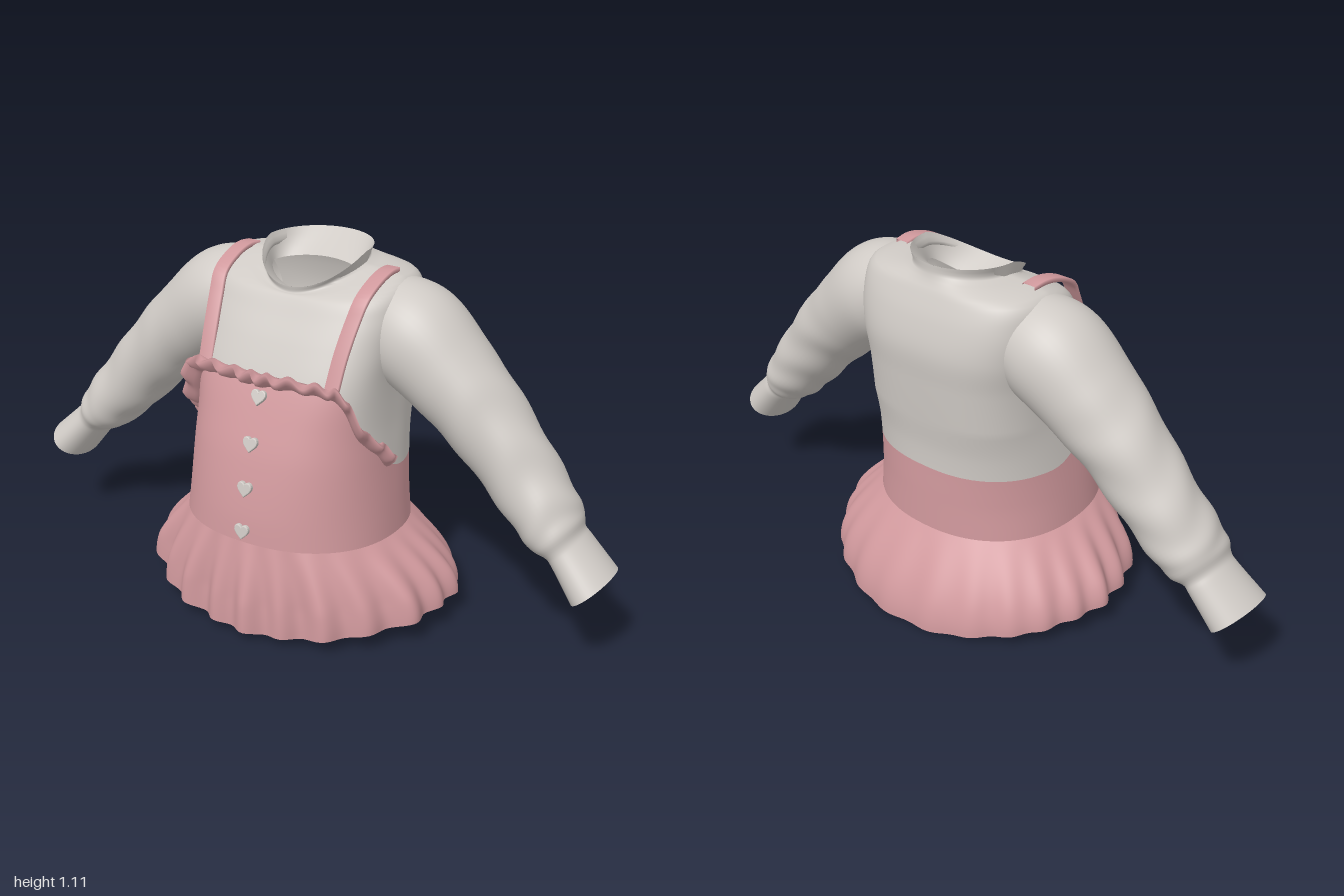
import * as THREE from 'three';

const material = (name, color) => {
  const m = new THREE.MeshStandardMaterial({ color, side: THREE.DoubleSide });
  m.name = name;
  return m;
};
const lerp = THREE.MathUtils.lerp;
const TAU = Math.PI * 2;

// Surface through rows x cols points; each row closes into a ring.
function loft(rows, cols, point) {
  const pos = [], idx = [];
  for (let i = 0; i < rows; i++) for (let j = 0; j < cols; j++) pos.push(...point(i / (rows - 1), j / cols));
  for (let i = 0; i < rows - 1; i++) {
    for (let j = 0; j < cols; j++) {
      const a = i * cols + j, b = i * cols + (j + 1) % cols;
      idx.push(a, b, a + cols, b, b + cols, a + cols);
    }
  }
  const g = new THREE.BufferGeometry();
  g.setAttribute('position', new THREE.Float32BufferAttribute(pos, 3));
  g.setIndex(idx);
  g.computeVertexNormals();
  return g;
}

// Smooth interpolation of table rows keyed by their first column.
function sample(table, t) {
  let i = 0;
  while (i < table.length - 2 && t > table[i + 1][0]) i++;
  const a = table[i], b = table[i + 1];
  const p = table[Math.max(i - 1, 0)], n = table[Math.min(i + 2, table.length - 1)];
  const h = b[0] - a[0], u = THREE.MathUtils.clamp((t - a[0]) / h, 0, 1);
  return a.map((v, k) => {
    const m0 = (b[k] - p[k]) / (b[0] - p[0]) * h, m1 = (n[k] - v) / (n[0] - a[0]) * h;
    const u2 = u * u, u3 = u2 * u;
    return (2 * u3 - 3 * u2 + 1) * v + (u3 - 2 * u2 + u) * m0 + (3 * u2 - 2 * u3) * b[k] + (u3 - u2) * m1;
  });
}

// Torso rings: key, half width, front z, back z, squareness, y at side, front, back
const TORSO = [
  [0.27, 0.342, 0.36, -0.275, 2.25, 0.27, 0.27, 0.27],
  [0.40, 0.328, 0.348, -0.275, 2.25, 0.40, 0.40, 0.40],
  [0.55, 0.311, 0.318, -0.275, 2.5, 0.55, 0.55, 0.55],
  [0.65, 0.302, 0.287, -0.285, 2.8, 0.65, 0.65, 0.65],
  [0.78, 0.30, 0.238, -0.295, 3.4, 0.78, 0.78, 0.78],
  [0.88, 0.31, 0.188, -0.30, 3.4, 0.88, 0.88, 0.88],
  [0.97, 0.315, 0.145, -0.28, 3.2, 0.98, 0.95, 0.97],
  [1.04, 0.295, 0.12, -0.25, 2.8, 1.052, 0.99, 1.04],
  [1.08, 0.21, 0.108, -0.235, 2.3, 1.072, 1.004, 1.065],
  [1.10, 0.155, 0.098, -0.226, 2, 1.075, 1.006, 1.085],
  [1.14, 0.165, 0.10, -0.225, 2, 1.114, 1.024, 1.115],
];
const COLLAR_LINING = [
  TORSO[10],
  [1.18, 0.15, 0.012, -0.125, 2, 1.035, 0.98, 1.05],
];
// Point on a ring; angle 0 faces front, positive towards +x; the back is a little rounder
function ringPoint(row, a) {
  const [, w, zf, zb, qFront, yS, yF, yB] = row;
  const s = Math.sin(a), c = Math.cos(a);
  const q = c > 0 ? qFront : lerp(qFront, Math.min(qFront, 2.8), Math.min(1, -c * 2));
  const r = (Math.abs(s) ** q + Math.abs(c) ** q) ** (-1 / q);
  const y = c > 0 ? lerp(yS, yF, c ** 1.35) : lerp(yS, yB, c * c);
  return [w * r * s, y, (zf + zb) / 2 + (zf - zb) / 2 * r * c];
}
const torsoPoint = (t, a) => ringPoint(sample(TORSO, t), a);

// Height of the pinafore's upper edge around the body, and of its waist seam
const EDGE = [[0, 0.785], [0.5, 0.785], [0.75, 0.76], [1.0, 0.65], [1.3, 0.575], [1.44, 0.53], [1.7, 0.495], [2, 0.49], [3.15, 0.49]];
const edge = a => sample(EDGE, Math.abs(a > Math.PI ? TAU - a : a))[1];
const waist = a => 0.295 + 0.015 * Math.cos(a);

// Flared skirt with irregular pleats deepening towards the hem
function skirtPoint(s, a) {
  const top = torsoPoint(waist(a), a);
  const sn = Math.sin(a), cs = Math.cos(a), f = Math.sin(s * Math.PI / 2);
  const front = THREE.MathUtils.smoothstep(cs, -0.7, 0.3);
  const pleat = 0.75 * Math.sin(23 * a + 1.3 * Math.sin(3 * a)) + 0.35 * Math.sin(11 * a + 1);
  const amp = lerp(0.006, 0.018, front) * Math.min(1, s * 1.5);
  const hem = 0.016 + 0.062 * sn * sn + 0.013 * cs + 0.005 * pleat * front;
  return [
    lerp(top[0], 0.495 * sn, f) + pleat * amp * sn,
    lerp(top[1], hem, s),
    lerp(top[2], cs > 0 ? 0.395 * cs : 0.405 * cs, f) + pleat * amp * cs,
  ];
}

// Sleeve rings: key, centre x y z, radius in the arm's plane, radius along z
const SLEEVE = [
  [0, 0.23, 0.925, -0.075, 0.138, 0.14],
  [1, 0.33, 0.885, -0.07, 0.157, 0.16],
  [2, 0.44, 0.80, -0.065, 0.14, 0.15],
  [3, 0.56, 0.69, -0.06, 0.124, 0.132],
  [4, 0.67, 0.57, -0.055, 0.112, 0.118],
  [5, 0.76, 0.47, -0.045, 0.10, 0.118],
  [6, 0.82, 0.405, -0.035, 0.084, 0.112],
  [6.5, 0.845, 0.38, -0.03, 0.064, 0.095],
  [7, 0.865, 0.36, -0.03, 0.062, 0.096],
  [8, 0.948, 0.271, -0.017, 0.071, 0.11],
];
function sleevePoint(t, a, scale = 1) {
  const [, x, y, z, rn, rz] = sample(SLEEVE, t);
  const p = sample(SLEEVE, Math.max(t - 0.3, 0)), n = sample(SLEEVE, Math.min(t + 0.3, 8));
  const dx = n[1] - p[1], dy = n[2] - p[2], len = Math.hypot(dx, dy);
  const fold = 0.003 * THREE.MathUtils.smoothstep(t, 2, 3) * (1 - THREE.MathUtils.smoothstep(t, 5.5, 6.3)) * Math.sin(t * 5 + 2 * Math.sin(a * 2));
  const u = (rn + fold) * Math.cos(a) * scale, v = (rz + fold) * Math.sin(a) * scale;
  return [x - dy / len * u, y + dx / len * u, z + v];
}

function heartGeometry(w) {
  const s = new THREE.Shape();
  s.moveTo(0, -w);
  s.bezierCurveTo(-w * 0.5, -w * 0.5, -w * 1.1, -w * 0.1, -w, w * 0.45);
  s.bezierCurveTo(-w * 0.9, w * 1.05, -w * 0.2, w * 1.0, 0, w * 0.45);
  s.bezierCurveTo(w * 0.2, w * 1.0, w * 0.9, w * 1.05, w, w * 0.45);
  s.bezierCurveTo(w * 1.1, -w * 0.1, w * 0.5, -w * 0.5, 0, -w);
  return new THREE.ExtrudeGeometry(s, { depth: 0.009, bevelEnabled: true, bevelSize: 0.003, bevelThickness: 0.003, bevelSegments: 2, curveSegments: 8 });
}

export function createModel() {
  const model = new THREE.Group();
  model.name = 'pinaforeOutfit';
  const grey = material('warmGrey', 0xcfcac5);
  const pink = material('dustyPink', 0xd29a9e);
  const add = (name, geometry, mat) => {
    const mesh = new THREE.Mesh(geometry, mat);
    mesh.name = name;
    model.add(mesh);
    return mesh;
  };

  // Shirt body above the pinafore, with collar
  add('shirtBody', loft(50, 128, (u, v) => torsoPoint(lerp(edge(v * TAU), 1.14, u), v * TAU)), grey);
  add('collarLining', loft(5, 64, (u, v) => ringPoint(sample(COLLAR_LINING, 1.14 + 0.04 * u), v * TAU)), grey);

  // Pinafore body, skirt and closed underside
  add('pinaforeBody', loft(30, 128, (u, v) => torsoPoint(lerp(waist(v * TAU), edge(v * TAU), u), v * TAU)), pink);
  add('skirt', loft(18, 300, (u, v) => skirtPoint(u, v * TAU)), pink);
  add('skirtUnderside', loft(4, 300, (u, v) => {
    const p = skirtPoint(1, v * TAU), k = 1 - u;
    return [p[0] * k, lerp(0.055, p[1], k), p[2] * k];
  }), pink);

  // Wavy ruffle along the bib edge: cross-section as outward and upward offsets
  const section = [[-0.004, -0.022], [0.024, -0.012], [0.05, 0.006], [0.064, 0.03], [0.045, 0.036], [0.012, 0.018], [-0.006, 0.01]];
  add('bibRuffle', loft(320, section.length, (u, v) => {
    const a = lerp(-1.44, 1.44, u), side = Math.min(1, Math.abs(a) / 1.1);
    const [out, up] = section[Math.round(v * section.length)];
    const base = torsoPoint(edge(a), a);
    const wave = Math.sin(a * 34 + 0.9 * Math.sin(a * 9)) * Math.max(out, 0) / 0.06;
    const o = out * lerp(1, 0.75, side) + wave * 0.007;
    return [base[0] + o * Math.sin(a), base[1] + up * lerp(1, 0.8, side) - wave * 0.008, base[2] + o * Math.cos(a)];
  }), pink);

  // Heart buttons down the front
  const heart = heartGeometry(0.021);
  [0.735, 0.605, 0.475, 0.345].forEach((y, i) => {
    const button = add('heartButton' + (i + 1), heart, grey);
    button.position.set(0, y, torsoPoint(y, 0)[2] - 0.001);
    button.rotation.x = -[0.36, 0.24, 0.16, 0.1][i];
  });

  // Shoulder straps and sleeves, mirrored
  const strapPath = new THREE.CatmullRomCurve3([
    [0.215, 0.77, 0.222], [0.222, 0.88, 0.177], [0.232, 0.97, 0.13], [0.24, 1.026, 0.093],
    [0.243, 1.062, 0.02], [0.243, 1.073, -0.04], [0.24, 1.068, -0.085],
  ].map(p => new THREE.Vector3(...p)));
  const corners = [[-1, -1], [1, -1], [1, 1], [-1, 1]];
  for (const [label, m] of [['left', 1], ['right', -1]]) {
    add(label + 'Strap', loft(36, 4, (u, v) => {
      const p = strapPath.getPointAt(u), t = strapPath.getTangentAt(u);
      const [cx, cn] = corners[Math.round(v * 4)];
      const len = Math.hypot(t.y, t.z);
      return [m * (p.x + cx * 0.021), p.y - t.z / len * cn * 0.007, p.z + t.y / len * cn * 0.007];
    }), pink);
    add(label + 'Sleeve', loft(70, 48, (u, v) => {
      const p = sleevePoint(u * 8, v * TAU);
      return [m * p[0], p[1], p[2]];
    }), grey);
    add(label + 'CuffEnd', loft(2, 48, (u, v) => {
      const p = sleevePoint(8, v * TAU, 1 - u);
      return [m * p[0], p[1], p[2]];
    }), grey);
  }
  return model;
}
